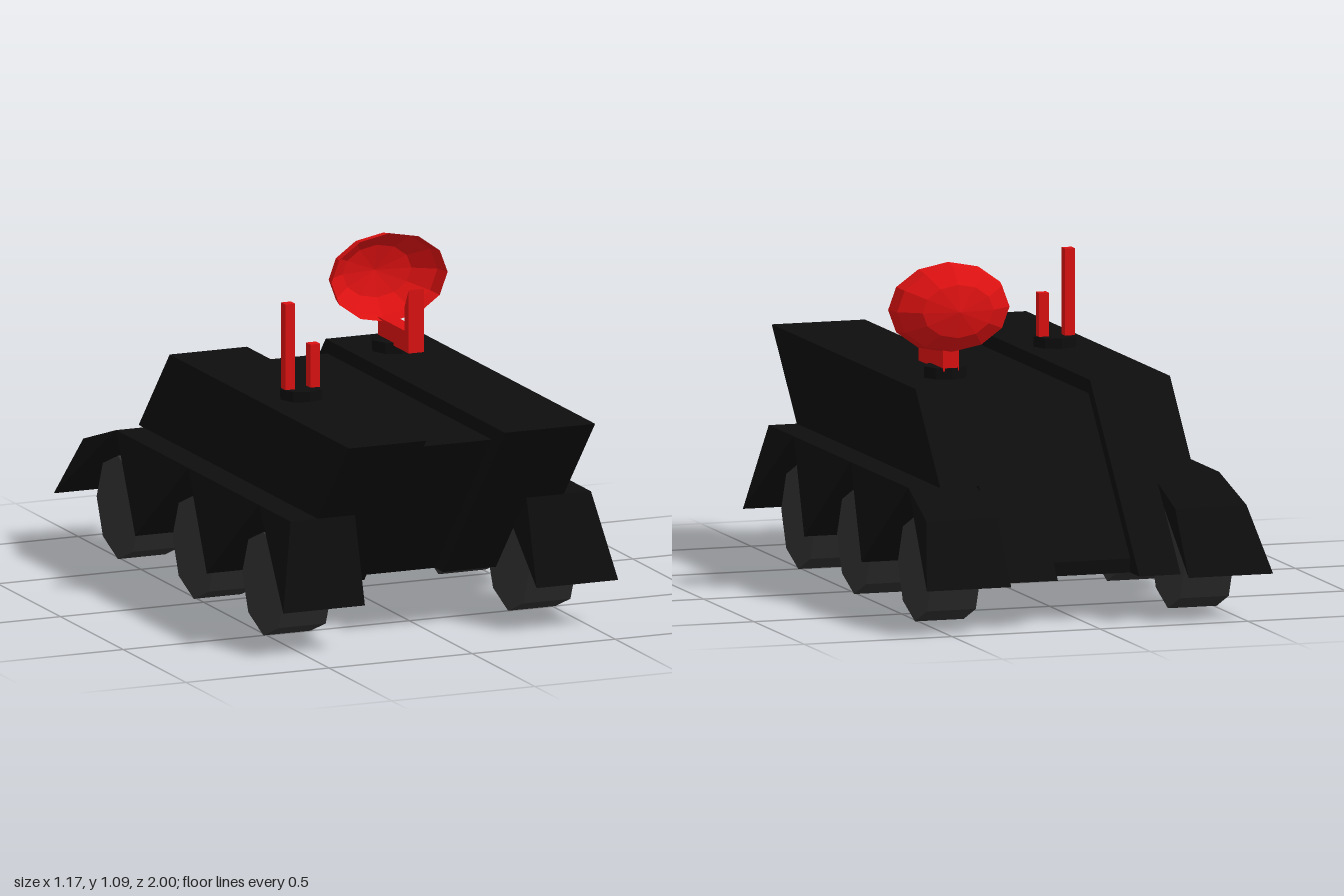
import * as THREE from 'three';

const mat = (color, side = THREE.FrontSide) =>
  new THREE.MeshStandardMaterial({ color, side, flatShading: true });

// Slab with a [z, y] side profile, running from x0 to x1
function slab(profile, x0, x1) {
  const shape = new THREE.Shape(profile.map(([z, y]) => new THREE.Vector2(z, y)));
  const geo = new THREE.ExtrudeGeometry(shape, { depth: x1 - x0, bevelEnabled: false });
  return geo.rotateY(-Math.PI / 2).translate(x1, 0, 0);
}

// Fender wedge whose outer side leans outwards towards the ground
function fender(profile, side) {
  const geo = side > 0 ? slab(profile, 0.3, 0.525) : slab(profile, -0.525, -0.3);
  const p = geo.attributes.position;
  for (let i = 0; i < p.count; i++) {
    if (Math.abs(p.getX(i)) > 0.5) p.setX(i, side * (0.525 + (0.43 - p.getY(i)) * 0.215));
  }
  geo.computeVertexNormals();
  return geo;
}

export function createModel() {
  const model = new THREE.Group();
  model.name = 'armouredCarrier';
  const black = mat(0x0d0d0d);
  const grey = mat(0x303030);
  const red = mat(0xdd1111);
  const redOpen = mat(0xdd1111, THREE.DoubleSide);

  const add = (name, geo, material, x = 0, y = 0, z = 0) => {
    const mesh = new THREE.Mesh(geo, material);
    mesh.name = name;
    mesh.position.set(x, y, z);
    model.add(mesh);
    return mesh;
  };

  // Hull: two raised sides with a shallow channel between them
  const upper = [[1, 0.715], [0.75, 0.43], [-0.677, 0.43], [-0.43, 0.715]];
  const lower = [[0.75, 0.43], [0.505, 0.15], [-0.92, 0.15], [-0.677, 0.43]];
  const channel = [[0.895, 0.67], [0.44, 0.15], [-0.83, 0.15], [-0.83, 0.195], [-0.415, 0.67]];
  add('upperHullLeft', slab(upper, 0.115, 0.43), black);
  add('upperHullRight', slab(upper, -0.43, -0.16), black);
  add('lowerHullLeft', slab(lower, 0.115, 0.3), black);
  add('lowerHullRight', slab(lower, -0.3, -0.16), black);
  add('hullChannel', slab(channel, -0.16, 0.115), black);

  // Fender wedges and wheels on both sides
  const wedges = {
    frontFender: [[0.75, 0.43], [0.5, 0.43], [0.83, 0.15]],
    middleFender: [[0.5, 0.43], [-0.065, 0.43], [0.22, 0.15]],
    rearFender: [[-0.065, 0.43], [-0.64, 0.43], [-0.35, 0.15]],
    rearFlap: [[-0.64, 0.43], [-0.865, 0.355], [-1, 0.15]],
  };
  const wheelGeo = new THREE.CylinderGeometry(0.17, 0.17, 0.165, 8).rotateZ(Math.PI / 2);
  for (const side of [1, -1]) {
    const label = side > 0 ? 'Left' : 'Right';
    for (const [name, profile] of Object.entries(wedges)) {
      add(name + label, fender(profile, side), black);
    }
    [0.5, -0.055, -0.66].forEach((z, i) =>
      add(['front', 'middle', 'rear'][i] + 'Wheel' + label, wheelGeo, grey, side * 0.4275, 0.17, z));
  }

  // Antenna pair on a round mount
  const mountGeo = new THREE.CylinderGeometry(0.072, 0.072, 0.037, 8);
  add('antennaMount', mountGeo, black, -0.285, 0.73, 0.287);
  add('tallAntenna', new THREE.BoxGeometry(0.034, 0.29, 0.034), red, -0.33, 0.885, 0.287);
  add('shortAntenna', new THREE.BoxGeometry(0.034, 0.15, 0.034), red, -0.243, 0.815, 0.287);

  // Dish on its mount, with the bent feed arm in front
  add('dishMount', mountGeo, black, 0.255, 0.733, -0.212);
  const arm = [[-0.275, 0.742], [-0.03, 0.742], [-0.03, 0.95], [-0.065, 0.885],
    [-0.065, 0.81], [-0.275, 0.81]];
  add('feedArm', slab(arm, 0.23, 0.284), red);
  const bowl = [[0, -0.12], [0.12, -0.1], [0.19, -0.052], [0.203, 0]]
    .map(([r, d]) => new THREE.Vector2(r, d));
  const dishGeo = new THREE.LatheGeometry(bowl, 12).rotateX(Math.PI / 2).scale(1, 0.72, 1);
  add('dish', dishGeo, redOpen, 0.255, 0.944, -0.24);

  return model;
}
